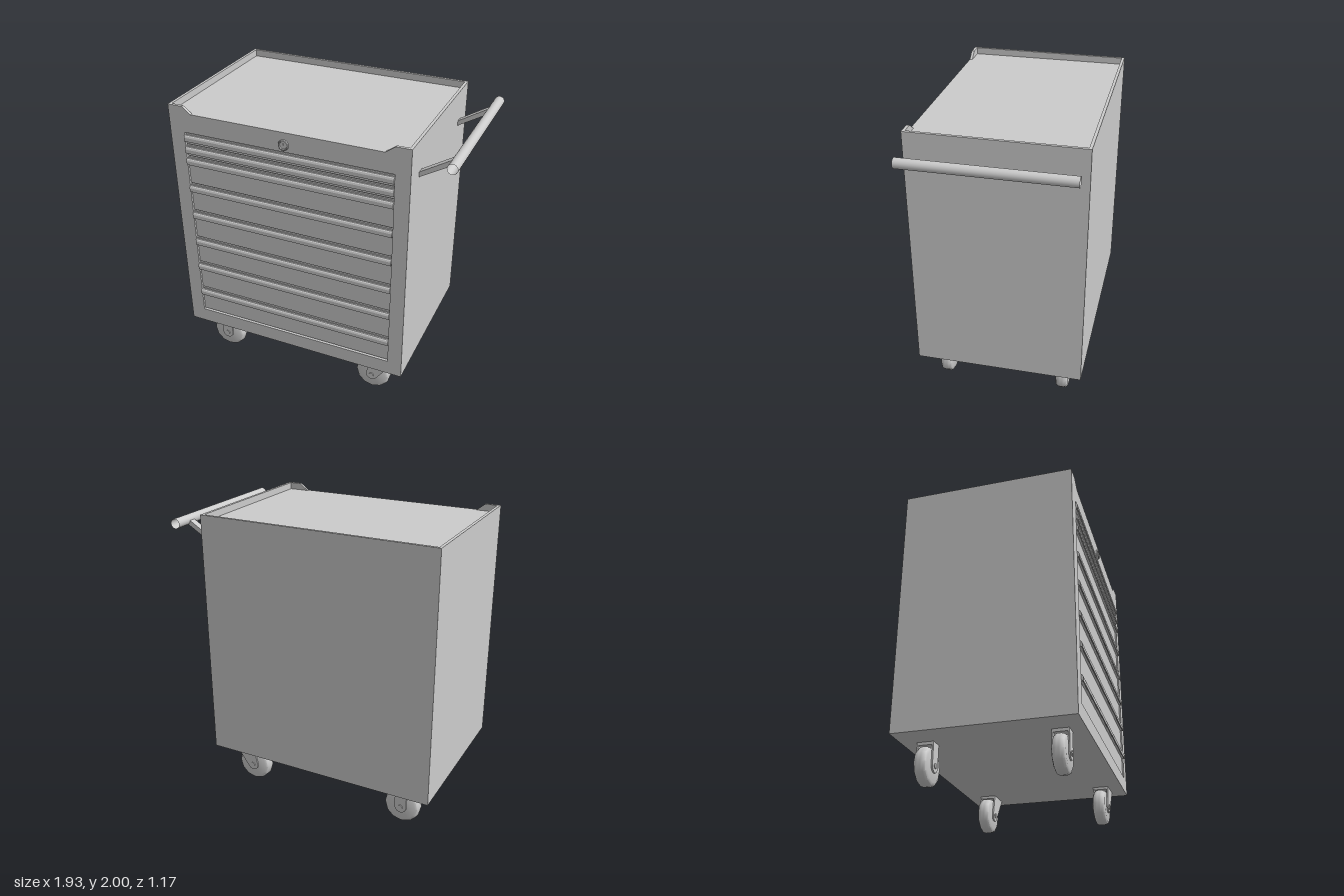
import * as THREE from 'three';
import { toCreasedNormals } from 'three/addons/utils/BufferGeometryUtils.js';

const grey = new THREE.MeshStandardMaterial({ color: 0xcccccc });
const greyDouble = new THREE.MeshStandardMaterial({ color: 0xcccccc, side: THREE.DoubleSide });

function add(parent, name, geometry, material = grey) {
  const mesh = new THREE.Mesh(geometry, material);
  mesh.name = name;
  parent.add(mesh);
  return mesh;
}

// Box given by its min and max on each axis
function span(x0, x1, y0, y1, z0, z1) {
  return new THREE.BoxGeometry(x1 - x0, y1 - y0, z1 - z0)
    .translate((x0 + x1) / 2, (y0 + y1) / 2, (z0 + z1) / 2);
}

function shapeOf(points) {
  return new THREE.Shape(points.map(([x, y]) => new THREE.Vector2(x, y)));
}

// Shape in the xy plane, extruded from z0 to z1
function slab(shape, z0, z1) {
  return new THREE.ExtrudeGeometry(shape, { depth: z1 - z0, bevelEnabled: false, curveSegments: 8 })
    .translate(0, 0, z0);
}

const X0 = -0.965, X1 = 0.695, Y0 = 0.275, Y1 = 2, Z0 = -0.585, Z1 = 0.57;
const FLOOR = 1.953, WALL = 0.02;
const D0 = -0.86, D1 = 0.595;                    // drawer opening in x
const AXLE = 0.127;

function createCabinet() {
  const cabinet = new THREE.Group();
  cabinet.name = 'cabinet';
  add(cabinet, 'cabinetBody', span(X0, X1, Y0, FLOOR, Z0, Z1 - WALL));
  // Raised rim around the top tray
  add(cabinet, 'rimRight', span(X0, X0 + WALL, FLOOR, Y1, Z0, Z1 - WALL));
  add(cabinet, 'rimLeft', span(X1 - WALL, X1, FLOOR, Y1, Z0, Z1 - WALL));
  add(cabinet, 'rimBack', span(X0 + WALL, X1 - WALL, FLOOR, Y1, Z0, Z0 + WALL));
  // Front frame with lowered lip and drawer opening
  const frame = shapeOf([
    [X0, Y0], [X1, Y0], [X1, Y1], [D1, Y1], [0.53, FLOOR], [-0.8, FLOOR], [D0, Y1], [X0, Y1],
  ]);
  frame.holes.push(new THREE.Path(
    [[D0, 0.38], [D0, 1.82], [D1, 1.82], [D1, 0.38]].map(([x, y]) => new THREE.Vector2(x, y))));
  add(cabinet, 'frontFrame', slab(frame, Z1 - WALL, Z1));
  return cabinet;
}

function createDrawers() {
  const drawers = new THREE.Group();
  drawers.name = 'drawers';
  const tops = [1.812, 1.727, 1.642, 1.437, 1.227, 1.01, 0.8, 0.577, 0.38];
  // Pull profile: x is depth out of the front, y is height below the drawer top
  const pull = shapeOf([
    [0.555, -0.012], [0.572, -0.01], [0.579, -0.015], [0.583, -0.026],
    [0.583, -0.052], [0.577, -0.052], [0.574, -0.047], [0.555, -0.047],
  ]);
  const pullGeometry = slab(pull, -D1, -D0).rotateY(-Math.PI / 2);
  for (let i = 0; i < tops.length - 1; i++) {
    add(drawers, 'drawerFront', span(D0 + 0.003, D1 - 0.003, tops[i + 1] + 0.008, tops[i], 0.545, 0.56));
    add(drawers, 'drawerPull', pullGeometry).position.set(0, tops[i], 0);
  }
  return drawers;
}

function createLock() {
  // Raised ring with a sunken centre
  const profile = [[0.035, 0], [0.035, 0.011], [0.032, 0.014], [0.027, 0.014], [0.024, 0.008], [0, 0.008]];
  const geometry = new THREE.LatheGeometry(profile.map(([x, y]) => new THREE.Vector2(x, y)), 24)
    .rotateX(Math.PI / 2);
  const lock = new THREE.Group();
  lock.name = 'lock';
  add(lock, 'lockRing', toCreasedNormals(geometry, 0.6));
  add(lock, 'keySlot', new THREE.BoxGeometry(0.006, 0.024, 0.004)).position.z = 0.009;
  lock.position.set(-0.135, 1.87, Z1);
  return lock;
}

function createPushHandle() {
  const handle = new THREE.Group();
  handle.name = 'pushHandle';
  // Hollow tube
  add(handle, 'handleBar', new THREE.CylinderGeometry(0.034, 0.034, 1.095, 20, 1, true)
    .rotateX(Math.PI / 2), greyDouble).position.set(0.927, 1.905, -0.012);
  // Slanted arms
  for (const z of [0.395, -0.415]) {
    const arm = shapeOf([[0.694, 1.75], [0.694, 1.785], [0.894, 1.906], [0.909, 1.876]]);
    add(handle, 'handleArm', slab(arm, z - 0.025, z + 0.025));
  }
  return handle;
}

// Caster centred on its axle; plate is the fork side, bridge joins both plates
function createCaster(name, plate, bridge) {
  const caster = new THREE.Group();
  caster.name = name;
  const half = [[0, 0.043], [0.1, 0.043], [0.116, 0.036], [0.125, 0.022], [0.127, 0.008]];
  const profile = [
    ...half.map(([r, y]) => new THREE.Vector2(r, -y)),
    ...half.map(([r, y]) => new THREE.Vector2(r, y)).reverse(),
  ];
  const wheel = new THREE.LatheGeometry(profile, 12).rotateX(Math.PI / 2);
  add(caster, 'wheel', toCreasedNormals(wheel, 0.65));
  for (const side of [-1, 1]) {
    const z = side * 0.05;
    add(caster, 'forkPlate', slab(plate, z - 0.005, z + 0.005));
  }
  add(caster, 'forkBridge', slab(bridge, -0.045, 0.045));
  add(caster, 'axle', new THREE.CylinderGeometry(0.017, 0.017, 0.122, 12).rotateX(Math.PI / 2));
  return caster;
}

export function createModel() {
  const model = new THREE.Group();
  model.name = 'toolCart';
  model.add(createCabinet(), createDrawers(), createLock(), createPushHandle());

  const top = Y0 - AXLE;
  // Straight fork with rounded end
  const straight = new THREE.Shape();
  straight.moveTo(-0.042, top);
  straight.lineTo(-0.042, 0);
  straight.absarc(0, 0, 0.042, Math.PI, Math.PI * 2, false);
  straight.lineTo(0.042, top);
  const straightBridge = shapeOf([[-0.042, 0.128], [0.042, 0.128], [0.042, top], [-0.042, top]]);
  // Swivel fork leaning outward
  const leaning = new THREE.Shape();
  leaning.moveTo(-0.012, top);
  leaning.lineTo(-0.04, 0.008);
  leaning.absarc(0, 0, 0.041, Math.PI * 0.95, Math.PI * 1.8, false);
  leaning.lineTo(0.157, top);
  const leaningBridge = shapeOf([
    [-0.012, 0.13], [0.05, 0.13], [0.09, 0.1], [0.108, 0.073], [0.157, top], [-0.012, top],
  ]);

  for (const z of [0.42, -0.43]) {
    const fixed = createCaster('fixedCaster', straight, straightBridge);
    fixed.position.set(-0.735, AXLE, z);
    const swivel = createCaster('swivelCaster', leaning, leaningBridge);
    swivel.position.set(0.445, AXLE, z);
    model.add(fixed, swivel);
  }
  return model;
}
